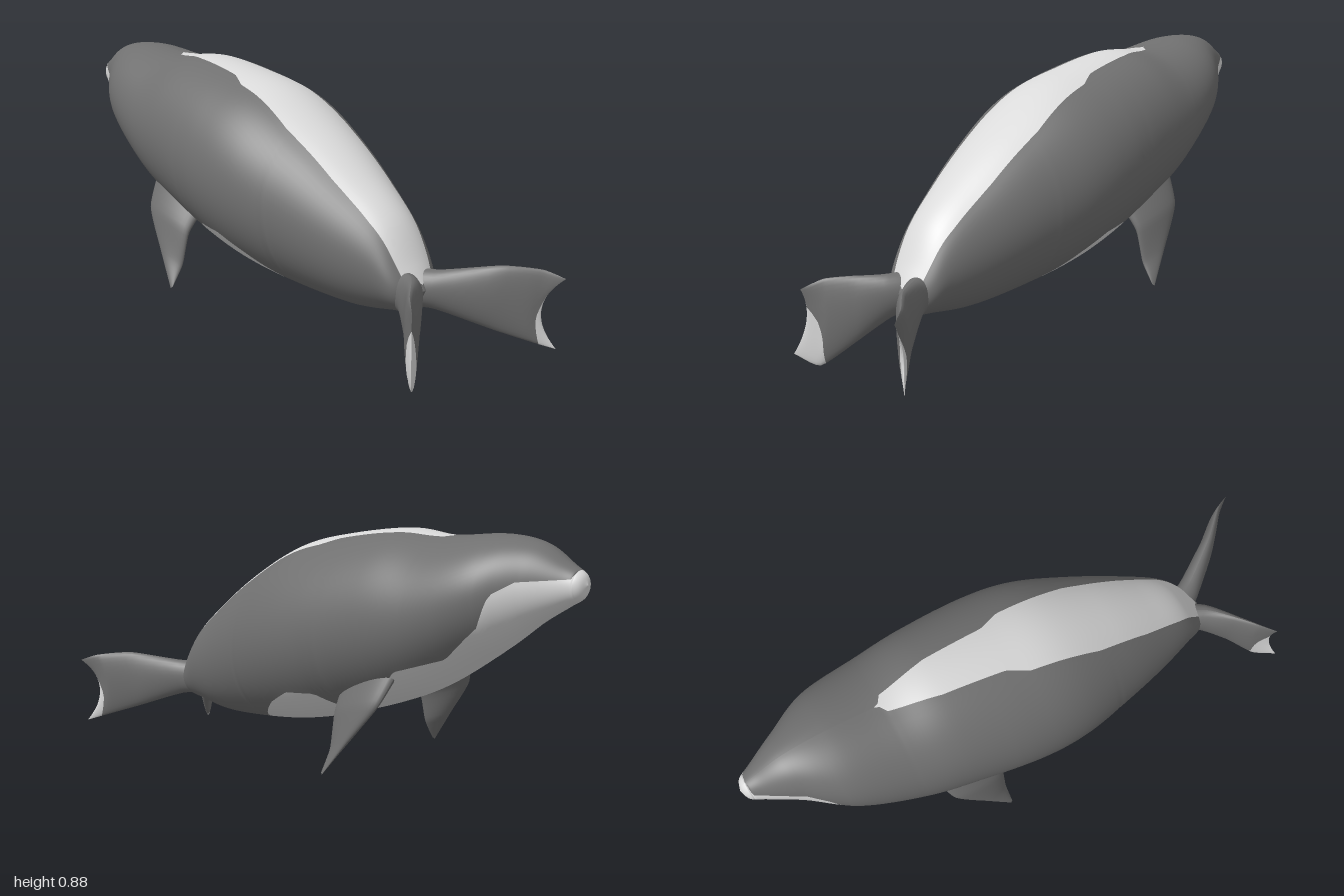
import * as THREE from 'three';

const darkFur = new THREE.MeshStandardMaterial({ color: 0x707070 });
const paleFur = new THREE.MeshStandardMaterial({ color: 0xdadada });
darkFur.name = 'dark grey fur';
paleFur.name = 'pale fur';

const V = (p) => new THREE.Vector3(...p);
const clamp = THREE.MathUtils.clamp;

// Piecewise linear lookup in [[x, y], ...]
function lookup(table, x) {
  if (x <= table[0][0]) return table[0][1];
  for (let i = 1; i < table.length; i++) {
    const [x0, y0] = table[i - 1], [x1, y1] = table[i];
    if (x <= x1) return y0 + (y1 - y0) * (x - x0) / (x1 - x0);
  }
  return table[table.length - 1][1];
}

// Surface patch of point(a, b), with b running from lo(a) to hi(a)
function panel(name, material, point, [a0, a1], lo, hi, na, nb) {
  const pos = [], index = [], width = [];
  for (let i = 0; i <= na; i++) {
    const a = a0 + (a1 - a0) * i / na, l = lo(a), h = hi(a);
    width.push(h - l);
    for (let j = 0; j <= nb; j++) pos.push(...point(a, l + (h - l) * j / nb).toArray());
  }
  for (let i = 0; i < na; i++) {
    if (Math.max(width[i], width[i + 1]) < 1e-5) continue;
    for (let j = 0; j < nb; j++) {
      const p = i * (nb + 1) + j, q = p + nb + 1;
      index.push(p, q, p + 1, q, q + 1, p + 1);
    }
  }
  const g = new THREE.BufferGeometry();
  g.setAttribute('position', new THREE.Float32BufferAttribute(pos, 3));
  g.setIndex(index);
  g.computeVertexNormals();
  const mesh = new THREE.Mesh(g, material);
  mesh.name = name;
  return mesh;
}

// Body stations from nose to rump: z, top, bottom, half width
const stations = [
  [-1, .757, .757, 0], [-.985, .79, .715, .035], [-.94, .815, .685, .06],
  [-.84, .865, .62, .115], [-.7, .877, .515, .2], [-.5, .855, .38, .25],
  [-.33, .862, .3, .275], [-.1, .825, .22, .295], [.08, .775, .175, .283],
  [.28, .665, .147, .23], [.45, .545, .136, .175], [.58, .435, .148, .125],
  [.66, .305, .165, .085], [.7, .23, .23, 0],
];
// Half width of the pale back stripe, and upper edge of the pale belly, along z
const stripeX = [[-.52, 0], [-.5, .03], [-.33, .065], [-.12, .08], [-.05, .11], [.2, .125],
  [.4, .11], [.55, .09], [.64, .07], [.67, .06], [.69, 0]];
const bellyY = [[-.985, .9], [-.97, .775], [-.83, .76], [-.77, .72], [-.73, .62], [-.61, .505],
  [-.45, .45], [-.36, .36], [-.2, .275], [-.13, .33], [-.02, .32], [.08, .265], [.22, .165], [.28, 0]];

function createBody() {
  const body = new THREE.Group();
  body.name = 'body';
  const heights = new THREE.CatmullRomCurve3(stations.map(s => V([s[0], s[1], s[2]])), false, 'catmullrom', .5);
  const widths = new THREE.CatmullRomCurve3(stations.map(s => V([s[0], s[3], 0])), false, 'catmullrom', .5);
  const ring = (t) => {
    const p = heights.getPoint(t);
    return { z: p.x, c: (p.y + p.z) / 2, h: Math.max((p.y - p.z) / 2, 0), w: Math.max(widths.getPoint(t).y, 0) };
  };
  const point = (t, b) => {
    const r = ring(t);
    return new THREE.Vector3(r.w * Math.sin(b), r.c + r.h * Math.cos(b), r.z);
  };
  // Angles from the top where the colours meet
  const stripe = (t) => {
    const r = ring(t);
    return Math.asin(clamp(lookup(stripeX, r.z) / Math.max(r.w, 1e-4), 0, 1));
  };
  const belly = (t) => {
    const r = ring(t);
    const a = Math.acos(clamp((lookup(bellyY, r.z) - r.c) / Math.max(r.h, 1e-4), -1, 1));
    return Math.max(a, stripe(t));
  };
  body.add(
    panel('backStripe', paleFur, point, [0, 1], t => -stripe(t), stripe, 156, 12),
    panel('leftFlank', darkFur, point, [0, 1], stripe, belly, 156, 24),
    panel('rightFlank', darkFur, point, [0, 1], t => -belly(t), t => -stripe(t), 156, 24),
    panel('muzzleAndBelly', paleFur, point, [0, 1], belly, t => 2 * Math.PI - belly(t), 156, 32),
  );
  return body;
}

// Flipper from sections [one edge, other edge, half thickness]; tipEdge gives where its pale tip starts
function createFlipper(name, sections, bow = 0, tipEdge = null) {
  const flipper = new THREE.Group();
  flipper.name = name;
  const curve = (k) => new THREE.CatmullRomCurve3(sections.map(s => V(s[k])), false, 'catmullrom', .3);
  const first = curve(0), second = curve(1), n = sections.length - 1;
  const thickness = sections.map((s, i) => [i / n, s[2]]);
  const mid = (b) => first.getPoint(b).add(second.getPoint(b)).multiplyScalar(.5);
  const span = mid(1).sub(mid(.3)).normalize();
  const point = (a, b) => {
    const p = first.getPoint(b), q = second.getPoint(b);
    const side = q.clone().sub(p).cross(span).normalize();
    return p.lerp(q, (1 - Math.cos(a)) / 2)
      .addScaledVector(side, lookup(thickness, b) * Math.sin(a))
      .addScaledVector(span, -bow * Math.sin(a) ** 2 * b ** 4);
  };
  const edge = (a) => tipEdge ? lookup(tipEdge, (1 - Math.cos(a)) / 2) : 1;
  const around = [0, 2 * Math.PI];
  flipper.add(panel(name + 'Blade', darkFur, point, around, () => 0, edge, 32, 18));
  if (tipEdge) flipper.add(panel(name + 'Tip', paleFur, point, around, edge, () => 1, 32, 6));
  return flipper;
}

export function createModel() {
  const model = new THREE.Group();
  model.name = 'seal';
  model.add(createBody());

  // Front flippers
  for (const s of [1, -1]) {
    model.add(createFlipper(s > 0 ? 'leftFrontFlipper' : 'rightFrontFlipper', [
      [[s * .16, .47, -.45], [s * .14, .38, -.2], .04],
      [[s * .23, .34, -.41], [s * .21, .28, -.215], .025],
      [[s * .262, .21, -.31], [s * .235, .17, -.22], .014],
      [[s * .283, .095, -.225], [s * .279, .1, -.218], 0],
    ]));
  }

  // Hind flippers, the left one longer and held higher
  model.add(createFlipper('leftHindFlipper', [
    [[0, .29, .58], [0, .165, .58], .06],
    [[.06, .287, .7], [.05, .165, .69], .04],
    [[.17, .312, .85], [.16, .11, .83], .026],
    [[.255, .303, .94], [.24, .075, .92], .016],
    [[.29, .28, 1], [.292, .055, .97], 0],
  ], .06, [[0, 1], [.25, 1], [.45, .92], [.65, .84], [1, .82]]));
  model.add(createFlipper('rightHindFlipper', [
    [[0, .29, .58], [0, .165, .58], .06],
    [[-.06, .285, .7], [-.05, .15, .68], .04],
    [[-.13, .283, .77], [-.12, .075, .77], .026],
    [[-.195, .275, .83], [-.2, 0, .85], .018],
    [[-.24, .245, .885], [-.258, .04, .905], 0],
  ], .03, [[0, 1], [.3, 1], [.45, .86], [.65, .78], [1, .7]]));
  return model;
}
